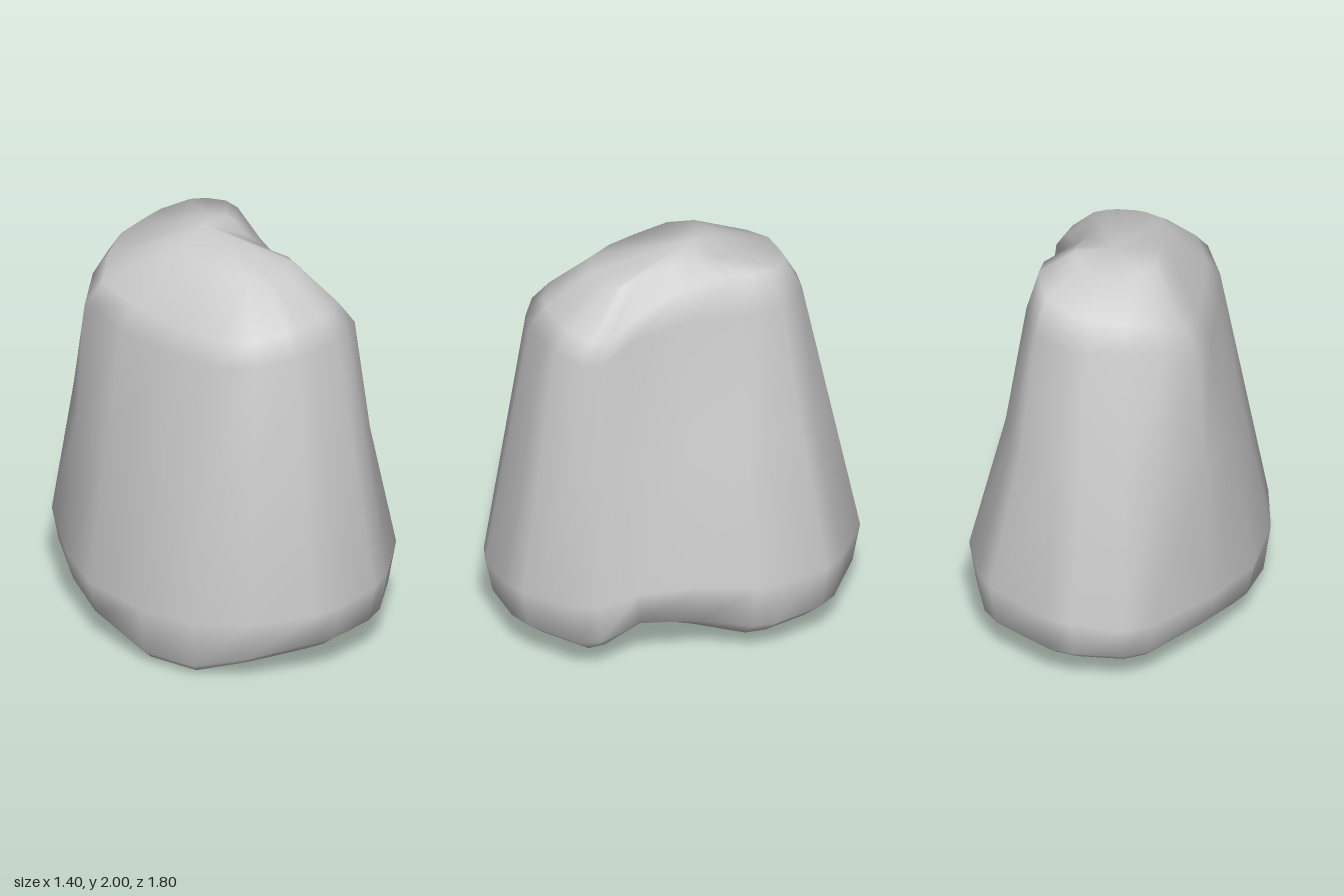
import * as THREE from 'three';

// Widest outline near the foot, as [x, z], starting at the back and passing +x
const foot = [
  [-0.11, -0.9], [0.15, -0.9], [0.27, -0.87], [0.56, -0.66], [0.63, -0.56], [0.7, -0.3], [0.69, -0.18],
  [0.57, 0.06], [0.52, 0.36], [0.565, 0.59], [0.525, 0.69], [0.27, 0.86], [0.14, 0.9], [-0.12, 0.9],
  [-0.24, 0.86], [-0.5, 0.67], [-0.655, 0.44], [-0.7, 0.14], [-0.655, -0.22], [-0.505, -0.5], [-0.23, -0.84],
];

// Matching outline at the shoulder, as [x, y, z]
const shoulder = [
  [-0.09, 1.73, -0.61], [0.1, 1.73, -0.61], [0.22, 1.73, -0.59], [0.36, 1.74, -0.5], [0.4, 1.75, -0.42],
  [0.425, 1.76, -0.3], [0.41, 1.76, -0.2], [0.32, 1.72, 0.04], [0.3, 1.65, 0.32], [0.37, 1.6, 0.5],
  [0.34, 1.6, 0.59], [0.2, 1.62, 0.67], [0.1, 1.62, 0.69], [-0.08, 1.62, 0.69], [-0.18, 1.62, 0.67],
  [-0.35, 1.6, 0.57], [-0.43, 1.57, 0.38], [-0.45, 1.56, 0.12], [-0.45, 1.58, -0.2], [-0.42, 1.62, -0.46],
  [-0.26, 1.7, -0.55],
];

const clamp = (v) => THREE.MathUtils.clamp(v, 0, 1);
const lerp = THREE.MathUtils.lerp;

// How far a foot point lies in the groove on the +x side
const groove = (x, z) => (x > 0.3 ? clamp(1 - Math.abs(z - 0.3) / 0.35) : 0);
// How far a foot point lies in the low lip on the -x side
const lip = (x, z) => clamp((-x - 0.3) / 0.25) * clamp(1.4 - 2.2 * Math.abs(z - 0.3));

function buildRings() {
  const footY = (x) => 0.35 + 0.07 * x;
  return [
    // underside
    foot.map(([x, z]) => [x * 0.35, 0.08, z * 0.35]),
    foot.map(([x, z]) => [x * 0.85 - 0.22 * groove(x, z), 0.1 - 0.1 * lip(x * 0.85, z * 0.85), z * 0.86]),
    foot.map(([x, z]) => [x * 0.95, 0.17 + 0.05 * groove(x, z) - 0.11 * lip(x, z), z * 0.96]),
    // flanks
    foot.map(([x, z]) => [x, footY(x), z]),
    foot.map(([x, z], i) => {
      const [sx, sy, sz] = shoulder[i];
      const px = lerp(x, sx, 0.53);
      return [px > 0.3 ? px - 0.03 : px, lerp(footY(x), sy, 0.53), lerp(z, sz, 0.53)];
    }),
    shoulder,
    // crown
    shoulder.map(([x, y, z]) => [0.02 + (x - 0.02) * 0.86, y + 0.12 + 0.08 * clamp(x * 2) * clamp(1 - z * 3) - 0.02 * clamp(z * 2), 0.02 + (z - 0.02) * 0.88]),
    shoulder.map(([x, , z]) => {
      const pz = 0.09 + (z - 0.09) * 0.52;
      return [0.03 + (x - 0.03) * 0.46, 1.98 - 0.18 * Math.abs(pz + 0.1), pz];
    }),
  ];
}

// Skin a stack of rings, closed by one point at each end
function skin(rings, bottom, top) {
  const n = rings[0].length;
  const points = [...rings.flat(), bottom, top];
  const low = points.length - 2, high = points.length - 1;
  const last = (rings.length - 1) * n;
  const index = [];
  for (let i = 0; i < n; i++) {
    const j = (i + 1) % n;
    index.push(low, i, j);
    for (let r = 0; r < last; r += n) {
      index.push(r + j, r + i, r + n + i, r + j, r + n + i, r + n + j);
    }
    index.push(last + j, last + i, high);
  }
  const geometry = new THREE.BufferGeometry();
  geometry.setAttribute('position', new THREE.Float32BufferAttribute(points.flat(), 3));
  geometry.setIndex(index);
  geometry.computeVertexNormals();
  return geometry;
}

export function createModel() {
  const group = new THREE.Group();
  group.name = 'boulder';
  const rock = new THREE.Mesh(
    skin(buildRings(), [0, 0.08, 0], [0.04, 2, -0.1]),
    new THREE.MeshStandardMaterial({ color: 0xcccccc }),
  );
  rock.name = 'rock';
  group.add(rock);
  return group;
}
